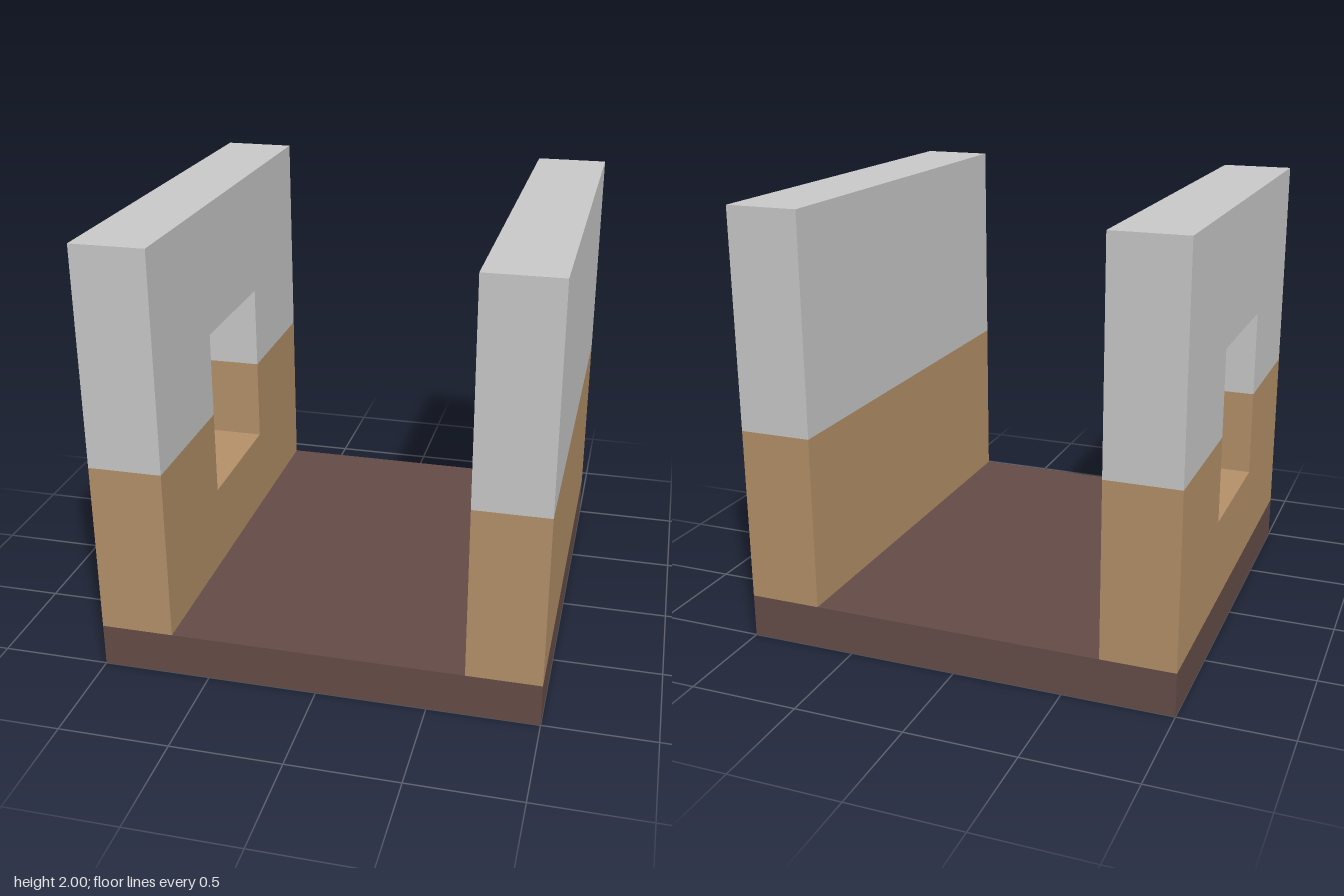
import * as THREE from 'three';

const WALL = 1 / 3;   // wall thickness
const SEAM = 1;       // height where the lower and upper wall halves meet
const material = (color) => new THREE.MeshStandardMaterial({ color, flatShading: true });

export function createModel() {
  const group = new THREE.Group();
  const floorMat = material(0x664d48);
  const lowerMat = material(0xb6926a);
  const upperMat = material(0xcccccc);

  const add = (name, geometry, mat, x, y) => {
    const mesh = new THREE.Mesh(geometry, mat);
    mesh.name = name;
    mesh.position.set(x, y, 0);
    group.add(mesh);
  };

  // floor slab
  add('floor', new THREE.BoxGeometry(2, 0.2, 2), floorMat, 0, 0.1);

  // solid wall on the left
  const leftX = 1 - WALL / 2;
  add('leftWallLower', new THREE.BoxGeometry(WALL, 0.8, 2), lowerMat, leftX, 0.6);
  add('leftWallUpper', new THREE.BoxGeometry(WALL, 1, 2), upperMat, leftX, 1.5);

  // half of the window wall: a slab from the seam to edgeY, notched to notchY
  const notchedHalf = (edgeY, notchY) => {
    const w = 1 / 3;
    const outline = [
      [-1, edgeY], [-1, SEAM], [-w, SEAM], [-w, notchY],
      [w, notchY], [w, SEAM], [1, SEAM], [1, edgeY],
    ].map(([z, y]) => new THREE.Vector2(z, y));
    return new THREE.ExtrudeGeometry(new THREE.Shape(outline), { depth: WALL, bevelEnabled: false })
      .rotateY(-Math.PI / 2);
  };

  // wall with the window on the right
  add('windowWallLower', notchedHalf(0.2, 0.6), lowerMat, WALL - 1, 0);
  add('windowWallUpper', notchedHalf(2, 1.4), upperMat, WALL - 1, 0);

  return group;
}
